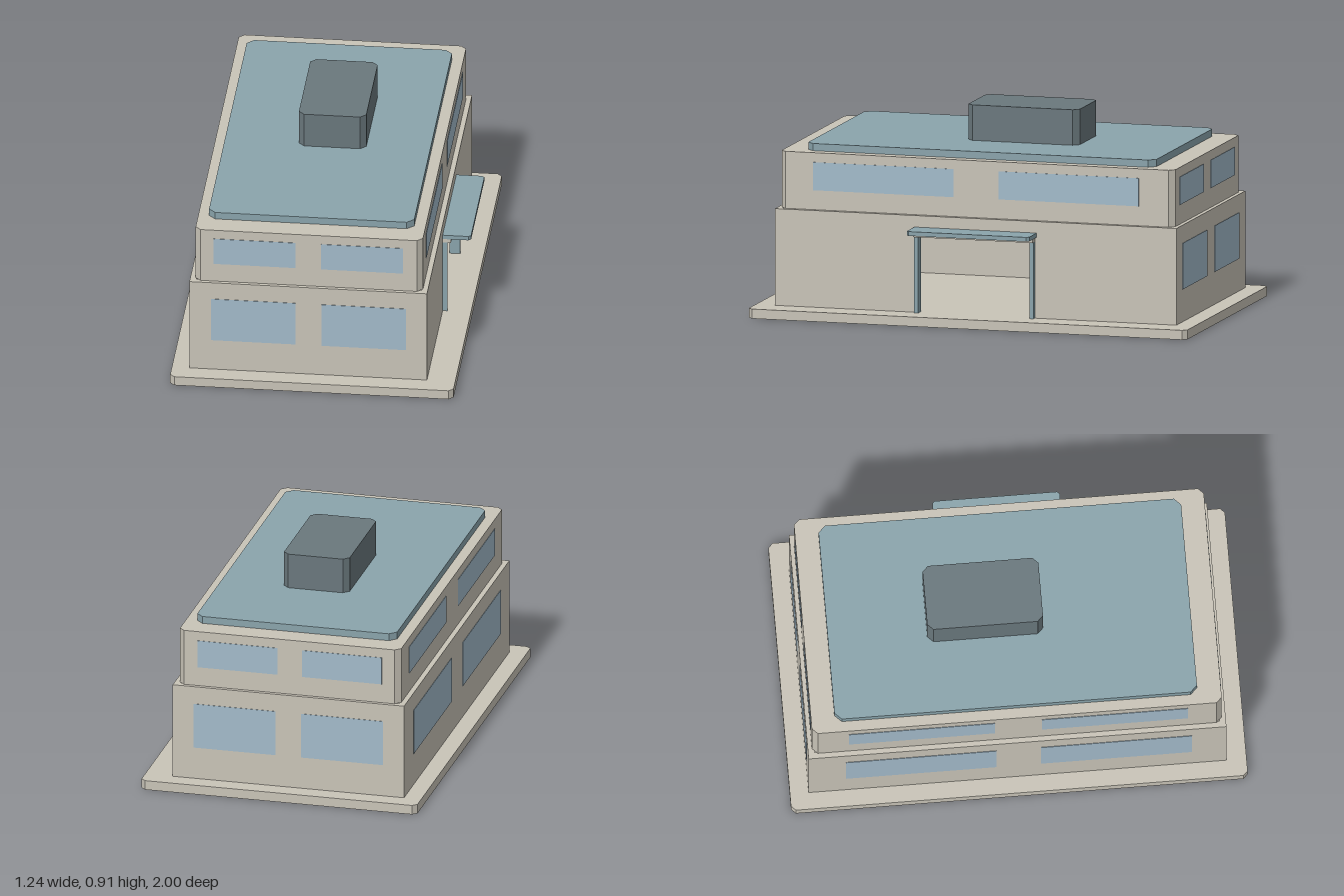
import * as THREE from 'three';

const material = (name, color) => {
  const m = new THREE.MeshStandardMaterial({ color });
  m.name = name;
  return m;
};

export function createModel() {
  const group = new THREE.Group();
  group.name = 'building';
  const stone = material('stone', 0xc9c4b8);
  const slate = material('blueSlate', 0x8aa4ac);
  const dark = material('darkSlate', 0x6a787d);
  const glass = material('windowGlass', 0xa3bbcb);

  const add = (name, geometry, mat) => {
    const mesh = new THREE.Mesh(geometry, mat);
    mesh.name = name;
    group.add(mesh);
    return mesh;
  };

  // Plain box given by its extents
  const box = (name, mat, x0, x1, y0, y1, z0, z1) =>
    add(name, new THREE.BoxGeometry(x1 - x0, y1 - y0, z1 - z0), mat)
      .position.set((x0 + x1) / 2, (y0 + y1) / 2, (z0 + z1) / 2);

  // Slab with cut vertical corners; cl and cr are the cuts on the -x and +x sides
  const slab = (name, mat, x0, x1, y0, y1, z0, z1, cl, cr = cl) => {
    const points = [
      [x0 + cl, -z1], [x1 - cr, -z1], [x1, -z1 + cr], [x1, -z0 - cr],
      [x1 - cr, -z0], [x0 + cl, -z0], [x0, -z0 - cl], [x0, -z1 + cl],
    ].map(([x, y]) => new THREE.Vector2(x, y));
    if (cl === 0) points.splice(6, 2);
    const geometry = new THREE.ExtrudeGeometry(new THREE.Shape(points), { depth: y1 - y0, bevelEnabled: false });
    geometry.rotateX(-Math.PI / 2);
    add(name, geometry, mat).position.y = y0;
  };

  // Base, upper storey, roof and rooftop block
  slab('base', stone, -0.622, 0.622, 0, 0.042, -1, 1, 0.02);
  slab('upperStorey', stone, -0.522, 0.476, 0.47, 0.722, -0.9, 0.895, 0.024);
  slab('roof', slate, -0.475, 0.426, 0.722, 0.754, -0.797, 0.791, 0.03);
  slab('rooftopBlock', dark, -0.15, 0.146, 0.754, 0.911, -0.364, 0.143, 0.025);

  // Hollow lower storey with an open doorway in the right wall
  const L = -0.545, R = 0.498, B = -0.918, F = 0.912, T = 0.028, Y0 = 0.042, Y1 = 0.47;
  const door = 0.272, doorTop = 0.4;
  box('frontWall', stone, L, R, Y0, Y1, F - T, F);
  box('backWall', stone, L, R, Y0, Y1, B, B + T);
  box('leftWall', stone, L, L + T, Y0, Y1, B + T, F - T);
  box('rightWallFront', stone, R - T, R, Y0, Y1, door, F - T);
  box('rightWallBack', stone, R - T, R, Y0, Y1, B + T, -door);
  box('doorLintel', stone, R - T, R, doorTop, Y1, -door, door);

  // Doorway posts, beam and canopy
  for (const side of [-1, 1]) {
    const z = side * 0.263;
    box('doorPost', slate, R - T, 0.518, Y0, 0.38, z - 0.009, z + 0.009);
  }
  box('doorBeam', stone, R - T, 0.534, 0.38, 0.4, -door, door);
  slab('canopy', slate, R, 0.622, 0.4, 0.419, -0.281, 0.277, 0, 0.011);

  // Windows: thin panes on each storey
  const E = 0.002;
  const upper = [0.556, 0.68], lower = [0.186, 0.39];
  const crossPanes = [[upper, [[-0.44, -0.08], [0.03, 0.39]], -0.9, 0.895],
                      [lower, [[-0.45, -0.08], [0.035, 0.405]], B, F]];
  for (const [[y0, y1], spans, back, front] of crossPanes)
    for (const [x0, x1] of spans) {
      box('frontWindow', glass, x0, x1, y0, y1, front - E, front + E);
      box('backWindow', glass, x0, x1, y0, y1, back - E, back + E);
    }
  for (const [z0, z1] of [[-0.74, -0.1], [0.105, 0.745]]) {
    box('rightWindow', glass, 0.476 - E, 0.476 + E, ...upper, z0, z1);
    box('leftWindow', glass, -0.522 - E, -0.522 + E, ...upper, z0, z1);
  }
  for (const [z0, z1] of [[-0.755, -0.095], [0.1, 0.76]])
    box('leftWindow', glass, L - E, L + E, ...lower, z0, z1);

  return group;
}
